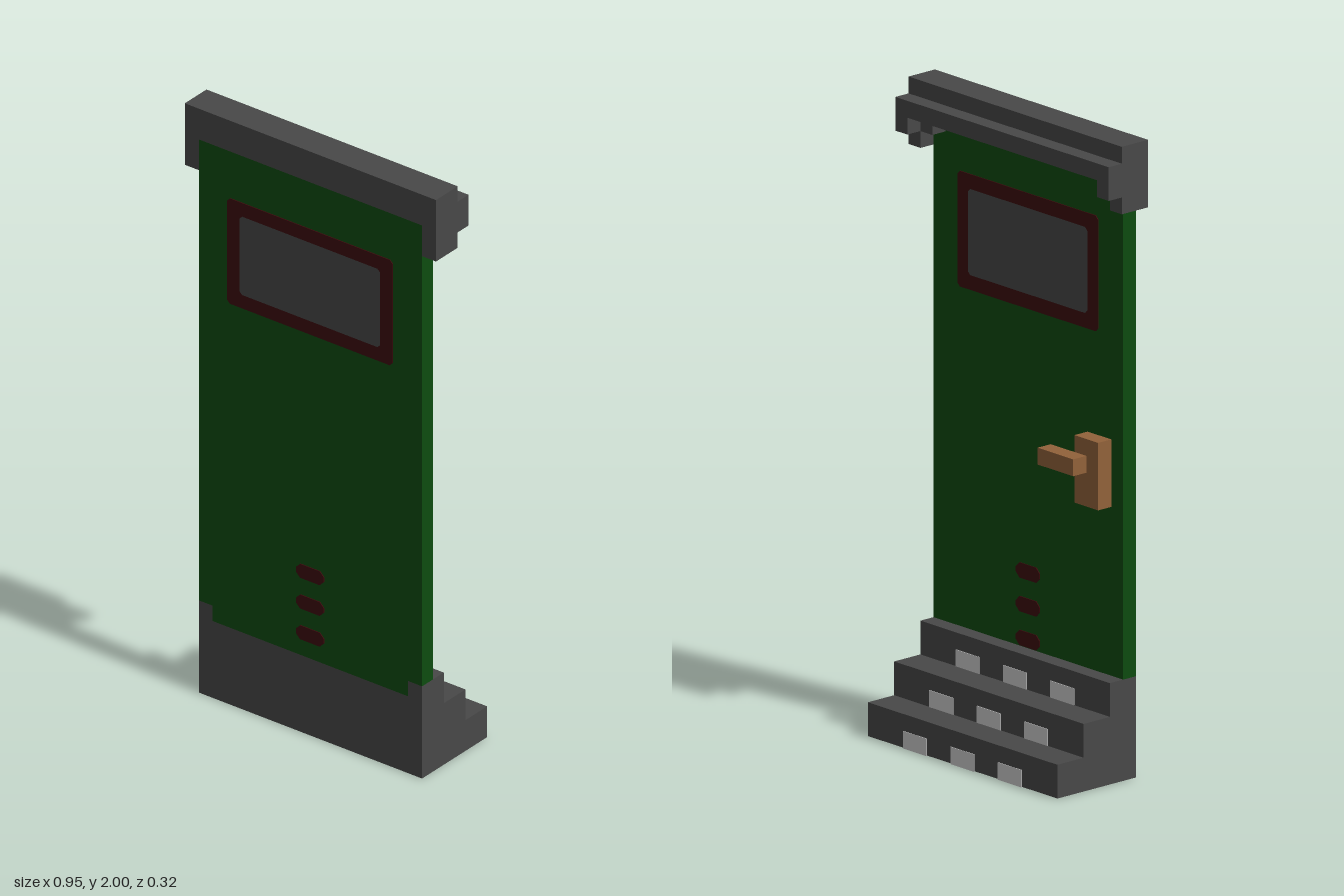
import * as THREE from 'three';

const U = 2 / 38; // block size: the whole model sits on a 38-block-high grid

const paint = (name, color) => {
  const m = new THREE.MeshStandardMaterial({ color });
  m.name = name;
  return m;
};

export function createModel() {
  const stone = paint('dark stone', 0x484848);
  const green = paint('door green', 0x0d4b0f);
  const red = paint('dark red trim', 0x3c0a0c);
  const brass = paint('handle brown', 0x92623a);
  const light = paint('pale light', 0xcccccc);

  const model = new THREE.Group();
  model.name = 'doorway';
  const group = (name) => {
    const g = new THREE.Group();
    g.name = name;
    model.add(g);
    return g;
  };

  // Box given by its minimum and maximum corners, in blocks
  const block = (parent, name, mat, [x0, y0, z0], [x1, y1, z1]) => {
    const mesh = new THREE.Mesh(new THREE.BoxGeometry((x1 - x0) * U, (y1 - y0) * U, (z1 - z0) * U), mat);
    mesh.position.set((x0 + x1) / 2 * U, (y0 + y1) / 2 * U, (z0 + z1) / 2 * U);
    mesh.name = name;
    parent.add(mesh);
  };

  // Rectangle outline with chamfered corners, in model units
  const chamfered = (w, h, c, Type = THREE.Shape) => {
    const x = w / 2 * U, y = h / 2 * U, k = c * U;
    return new Type([
      [-x + k, -y], [x - k, -y], [x, -y + k], [x, y - k],
      [x - k, y], [-x + k, y], [-x, y - k], [-x, -y + k],
    ].map(([a, b]) => new THREE.Vector2(a, b)));
  };

  const extrude = (parent, name, mat, shape, depth, y, z) => {
    const mesh = new THREE.Mesh(new THREE.ExtrudeGeometry(shape, { depth, bevelEnabled: false }), mat);
    mesh.position.set(0, y, z);
    mesh.name = name;
    parent.add(mesh);
  };

  // Steps: three treads rising towards the door, with a sill under it
  const steps = group('steps');
  block(steps, 'lowerStep', stone, [-8, 0, -3], [8, 2, -1]);
  block(steps, 'middleStep', stone, [-8, 0, -1], [8, 4, 1]);
  block(steps, 'upperStep', stone, [-8, 0, 1], [8, 6, 2]);
  block(steps, 'sill', stone, [-8, 0, 2], [8, 5, 3]);
  for (const s of [-7.5, 7.5]) block(steps, 'sillPost', stone, [s - 0.5, 5, 2], [s + 0.5, 6, 3]);

  // Lights set into the lower half of each riser
  for (let row = 0; row < 3; row++) {
    for (const x of [-4, 0, 4]) {
      const y = row * 2, z = -3 + row * 2;
      block(steps, 'stepLight', light, [x - 1, y - (row ? 0 : 0.03), z - 0.04], [x + 1, y + 1, z + 1]);
    }
  }

  // Door leaf, notched around the sill posts
  const door = group('door');
  const leaf = new THREE.Shape([
    [-7, 5], [7, 5], [7, 6], [8, 6], [8, 36], [-8, 36], [-8, 6], [-7, 6],
  ].map(([x, y]) => new THREE.Vector2(x * U, y * U)));
  extrude(door, 'doorLeaf', green, leaf, U, 0, 2 * U);

  // Window and vent slots on both faces
  const T = 0.003;
  for (const z of [3 * U, 2 * U - T]) {
    const frame = chamfered(11.85, 6.85, 0.2);
    frame.holes.push(chamfered(10.1, 5.1, 0.2, THREE.Path));
    extrude(door, 'windowFrame', red, frame, T, 29.55 * U, z);
    extrude(door, 'windowPane', stone, chamfered(10.1, 5.1, 0.2), T, 29.55 * U, z);
    for (const y of [6.5, 8.5, 10.5]) {
      extrude(door, 'ventSlot', red, chamfered(2, 0.9, 0.3), T, y * U, z);
    }
  }

  // Handle on the stepped side
  const handle = group('handle');
  block(handle, 'handlePlate', brass, [-7, 16, 1], [-5, 20, 2]);
  block(handle, 'handleLever', brass, [-6, 18, 0], [-3, 19, 1]);

  // Lintel, with a ledge and a hollow underside
  const lintel = group('lintel');
  block(lintel, 'lintelBeam', stone, [-9, 36, 1], [9, 38, 3]);
  block(lintel, 'lintelLedge', stone, [-9, 36, 0], [9, 37, 1]);
  for (const s of [-1, 1]) {
    const end = (name, a, b, y, z0, z1) =>
      block(lintel, name, stone, [Math.min(s * a, s * b), y, z0], [Math.max(s * a, s * b), 36, z1]);
    end('lintelLeg', 8, 9, 34, 1, 3);
    end('ledgeEnd', 8, 9, 35, 0, 1);
    end('lintelBracket', 7, 8, 35, 1, 2);
  }
  block(lintel, 'lintelLight', light, [-7, 35.95, 1], [7, 36, 2]);

  return model;
}
